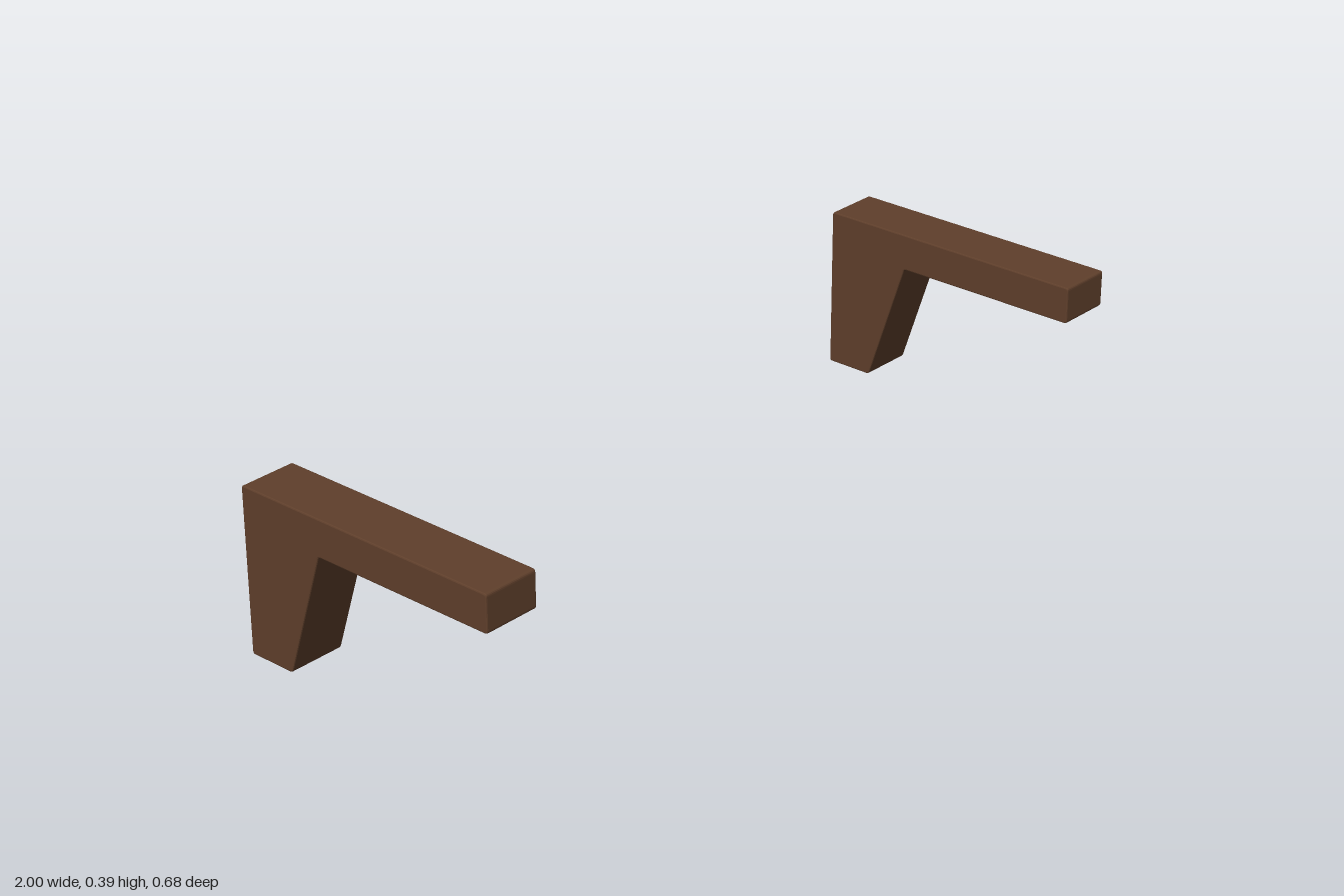
import * as THREE from 'three';

const WIDTH = 0.135, BEVEL = 0.003, RADIUS = 0.007;

// Closed outline whose corners are softened by a small radius
function roundedShape(points, r) {
  const pts = points.map(([x, y]) => new THREE.Vector2(x, y));
  const shape = new THREE.Shape();
  pts.forEach((p, i) => {
    const prev = pts[(i + pts.length - 1) % pts.length];
    const next = pts[(i + 1) % pts.length];
    const a = prev.clone().sub(p).setLength(r).add(p);
    const b = next.clone().sub(p).setLength(r).add(p);
    if (i === 0) shape.moveTo(a.x, a.y);
    else shape.lineTo(a.x, a.y);
    shape.quadraticCurveTo(p.x, p.y, b.x, b.y);
  });
  shape.closePath();
  return shape;
}

export function createModel() {
  const group = new THREE.Group();
  group.name = 'armrests';
  const wood = new THREE.MeshStandardMaterial({ color: 0x5f3f2b });
  wood.name = 'dark brown wood';

  // Side profile: long arm with a tapered rear leg (first axis runs to the back)
  const profile = roundedShape([
    [-0.34, 0.303], [0.124, 0.303], [0.222, 0.003],
    [0.34, 0.003], [0.34, 0.39], [-0.34, 0.39],
  ], RADIUS);
  const geometry = new THREE.ExtrudeGeometry(profile, {
    depth: WIDTH - 2 * BEVEL, curveSegments: 4,
    bevelEnabled: true, bevelSize: BEVEL, bevelThickness: BEVEL,
    bevelOffset: -BEVEL, bevelSegments: 2,
  });
  geometry.translate(0, -0.002, -(WIDTH / 2 - BEVEL));
  geometry.rotateY(Math.PI / 2);

  // One armrest on each side
  for (const [name, side] of [['leftArmrest', 1], ['rightArmrest', -1]]) {
    const arm = new THREE.Mesh(geometry, wood);
    arm.name = name;
    arm.position.x = side * (1 - WIDTH / 2);
    group.add(arm);
  }
  return group;
}
